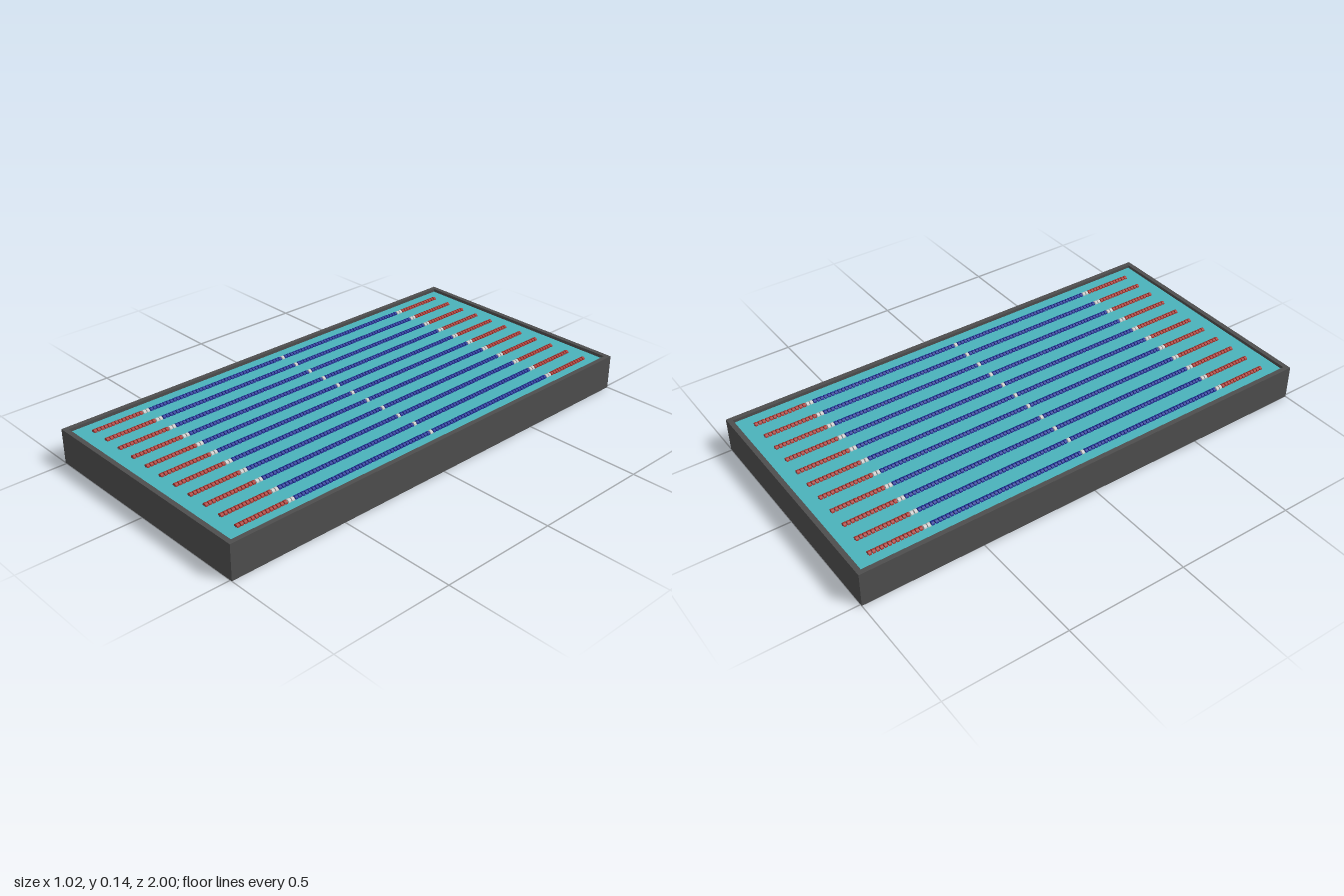
import * as THREE from 'three';
import { mergeGeometries } from 'three/addons/utils/BufferGeometryUtils.js';

const W = 1.016, H = 0.145, L = 2, WALL = 0.02, FLOOR = 0.02, WATER_Y = 0.132;

function addMesh(group, name, geometry, color) {
  const mesh = new THREE.Mesh(geometry, new THREE.MeshStandardMaterial({ color }));
  mesh.name = name;
  group.add(mesh);
  return mesh;
}

function rectangle(Type, w, l) {
  const r = new Type();
  r.moveTo(-w / 2, -l / 2);
  r.lineTo(w / 2, -l / 2);
  r.lineTo(w / 2, l / 2);
  r.lineTo(-w / 2, l / 2);
  r.closePath();
  return r;
}

export function createModel() {
  const pool = new THREE.Group();
  pool.name = 'swimmingPool';

  // Basin: a rectangular ring of walls on a floor slab
  const ring = rectangle(THREE.Shape, W, L);
  ring.holes.push(rectangle(THREE.Path, W - 2 * WALL, L - 2 * WALL));
  const walls = new THREE.ExtrudeGeometry(ring, { depth: H, bevelEnabled: false });
  walls.rotateX(-Math.PI / 2);
  addMesh(pool, 'basinWalls', walls, 0x4d4d4d);

  const floor = new THREE.BoxGeometry(W - 2 * WALL, FLOOR, L - 2 * WALL);
  floor.translate(0, FLOOR / 2, 0);
  addMesh(pool, 'basinFloor', floor, 0x4d4d4d);

  // Water surface, just below the rim
  const water = new THREE.PlaneGeometry(W - 2 * WALL, L - 2 * WALL);
  water.rotateX(-Math.PI / 2);
  water.translate(0, WATER_Y, 0);
  addMesh(pool, 'water', water, 0x4ab2ba);

  // Lane ropes: floating discs on a cable, red ends, blue middle, white markers
  const colors = { red: 0xa8352f, white: 0xd8d8d8, blue: 0x1c2f96 };
  const ropes = 11, spacing = 0.0855, beads = 117, pitch = 0.0157, radius = 0.0105;
  const disc = new THREE.CylinderGeometry(radius, radius, pitch * 0.72, 10);
  disc.rotateX(Math.PI / 2);
  const cable = new THREE.CylinderGeometry(0.003, 0.003, beads * pitch, 6);
  cable.rotateX(Math.PI / 2);

  for (let i = 0; i < ropes; i++) {
    const rope = new THREE.Group();
    rope.name = `laneRope${i + 1}`;
    rope.position.set((i - (ropes - 1) / 2) * spacing, WATER_Y, -0.003);
    const parts = { red: [], white: [], blue: [] };
    for (let b = 0; b < beads; b++) {
      const z = (b - (beads - 1) / 2) * pitch;
      const d = Math.abs(z);
      const marker = d < pitch * 0.6 || Math.abs(d - 0.685) < pitch * 0.85;
      const key = marker ? 'white' : d > 0.685 ? 'red' : 'blue';
      parts[key].push(disc.clone().translate(0, 0, z));
    }
    for (const key in parts) {
      addMesh(rope, `${key}Floats`, mergeGeometries(parts[key]), colors[key]);
    }
    addMesh(rope, 'cable', cable, 0x3a3f50);
    pool.add(rope);
  }
  return pool;
}
